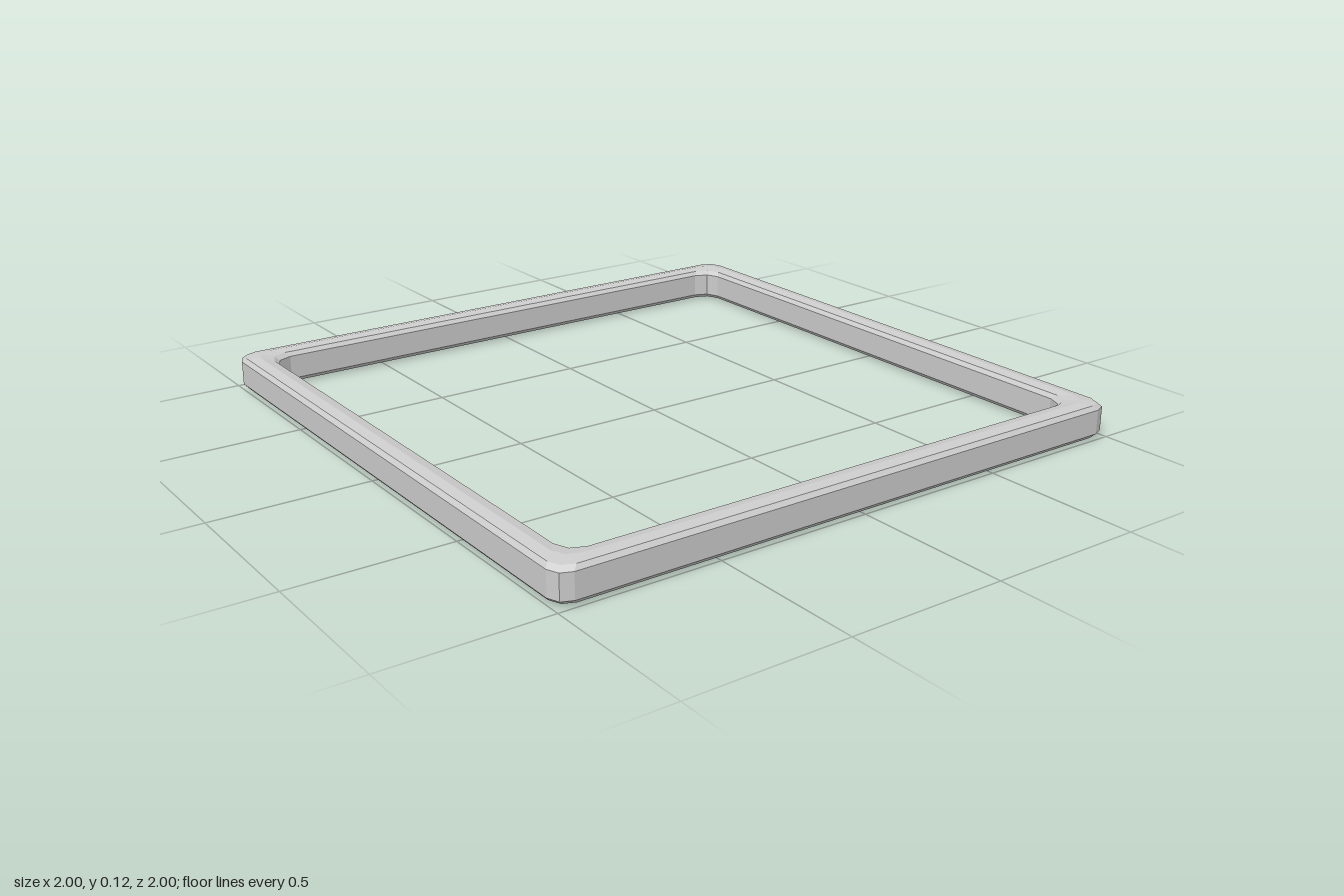
import * as THREE from 'three';

// Bevelled section: [inset from the outer edge, height]
const SECTION = [
  [0, 0.02], [0, 0.098], [0.012, 0.111], [0.045, 0.117], [0.078, 0.111], [0.09, 0.098],
  [0.09, 0.02], [0.078, 0.006], [0.045, 0], [0.012, 0.006],
];
const CORNER_STEPS = 2;

// Rounded-square loop at a given inset, the corners as short facets
function loopAt(inset, y) {
  const radius = 0.05 + inset * 0.15;
  const centre = 1 - inset - radius;
  const points = [];
  for (let corner = 0; corner < 4; corner++) {
    const mid = Math.PI / 4 + corner * Math.PI / 2;
    const cx = Math.sign(Math.cos(mid)) * centre;
    const cz = Math.sign(Math.sin(mid)) * centre;
    for (let s = 0; s <= CORNER_STEPS; s++) {
      const a = (corner + s / CORNER_STEPS) * Math.PI / 2;
      points.push([cx + radius * Math.cos(a), y, cz + radius * Math.sin(a)]);
    }
  }
  return points;
}

function frameGeometry() {
  const loops = SECTION.map(([inset, y]) => loopAt(inset, y));
  const count = loops[0].length;
  const positions = [];
  loops.forEach((loop, j) => {
    const next = loops[(j + 1) % loops.length];
    for (let i = 0; i < count; i++) {
      const k = (i + 1) % count;
      positions.push(...loop[i], ...next[i], ...next[k], ...loop[i], ...next[k], ...loop[k]);
    }
  });
  const geometry = new THREE.BufferGeometry();
  geometry.setAttribute('position', new THREE.Float32BufferAttribute(positions, 3));
  geometry.computeVertexNormals();
  return geometry;
}

export function createModel() {
  const group = new THREE.Group();
  group.name = 'squareFrame';
  const material = new THREE.MeshStandardMaterial({ color: 0xcccccc, flatShading: true });
  const frame = new THREE.Mesh(frameGeometry(), material);
  frame.name = 'frame';
  group.add(frame);
  return group;
}
